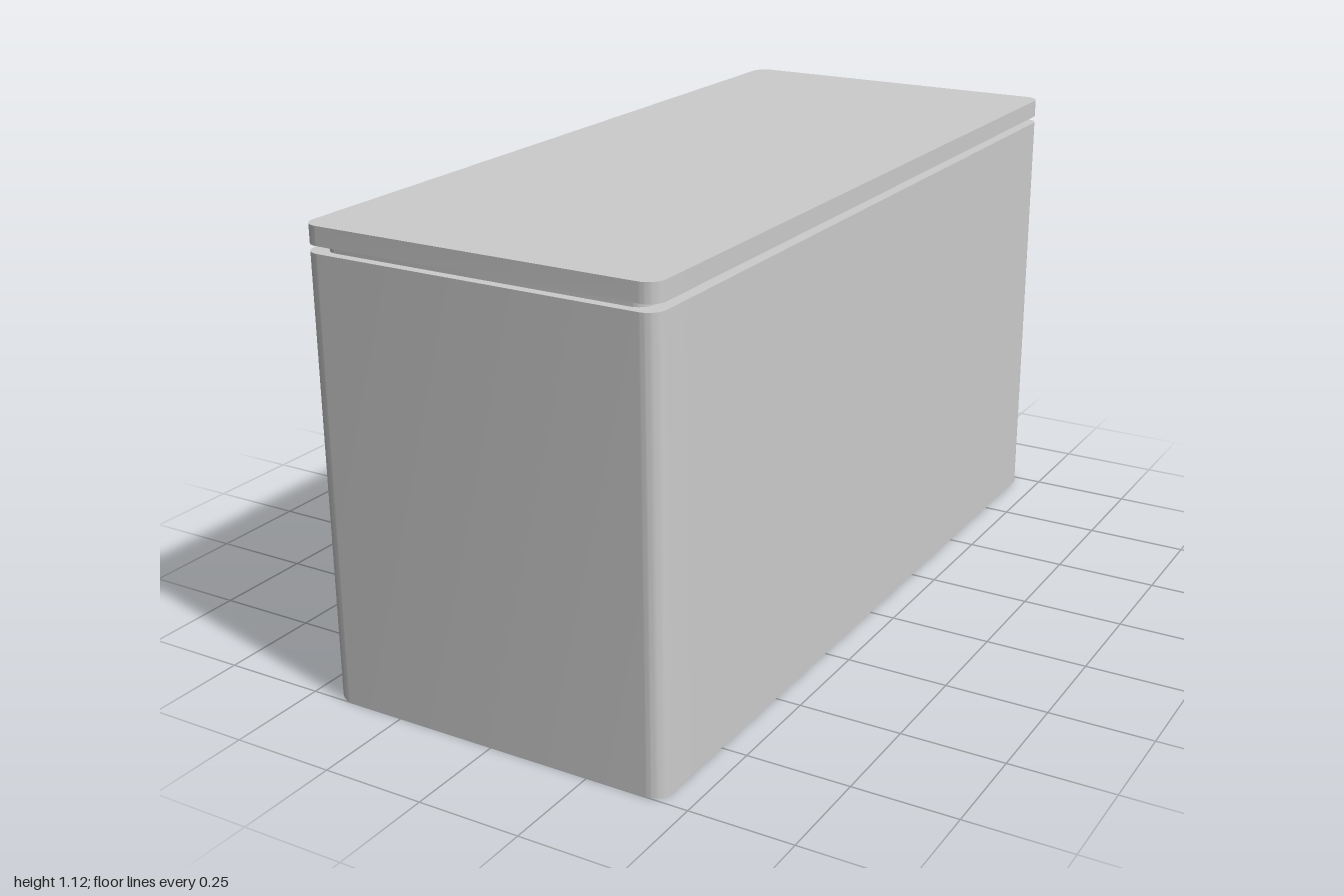
import * as THREE from 'three';
import { toCreasedNormals } from 'three/addons/utils/BufferGeometryUtils.js';

const STEPS = 12; // segments per rounded corner

// Slab with rounded vertical corners, built from columns running left to right.
// footRadius rounds the bottom edge on the -x side.
function roundedSlab(halfW, halfD, r, y0, y1, footRadius = 0) {
  const columns = [];
  for (let side = -1; side <= 1; side += 2) {
    for (let i = 0; i <= STEPS; i++) {
      const a = (side < 0 ? i : STEPS - i) / STEPS * Math.PI / 2;
      const x = side * (halfW - r + r * Math.cos(a));
      const z = halfD - r + r * Math.sin(a);
      const inset = Math.max(0, footRadius - halfW - x);
      const foot = footRadius - Math.sqrt(Math.max(0, footRadius ** 2 - inset ** 2));
      columns.push([x, z, y0 + foot]);
    }
  }

  // Four corners per column: bottom front, top front, top back, bottom back
  const positions = [];
  for (const [x, z, y] of columns) {
    positions.push(x, y, z, x, y1, z, x, y1, -z, x, y, -z);
  }

  const index = [];
  const quad = (a, b, c, d) => index.push(a, b, c, a, c, d);
  for (let i = 0; i < columns.length - 1; i++) {
    const p = i * 4, q = p + 4;
    for (let k = 0; k < 4; k++) {
      const n = (k + 1) % 4;
      quad(p + k, q + k, q + n, p + n);
    }
  }
  const e = (columns.length - 1) * 4;
  quad(0, 1, 2, 3); // -x side
  quad(e + 3, e + 2, e + 1, e); // +x side

  const geometry = new THREE.BufferGeometry();
  geometry.setAttribute('position', new THREE.Float32BufferAttribute(positions, 3));
  geometry.setIndex(index);
  return toCreasedNormals(geometry, 0.6);
}

export function createModel() {
  const group = new THREE.Group();
  group.name = 'liddedBox';
  const material = new THREE.MeshStandardMaterial({ color: 0xcccccc });

  const add = (name, geometry) => {
    const mesh = new THREE.Mesh(geometry, material);
    mesh.name = name;
    group.add(mesh);
  };

  // Main body, with one rounded lower edge
  add('body', roundedSlab(0.437, 1, 0.04, 0, 1.063, 0.04));
  // Recessed neck between body and lid
  add('neck', roundedSlab(0.4, 0.978, 0.035, 1.063, 1.08));
  // Flat lid
  add('lid', roundedSlab(0.437, 1, 0.04, 1.08, 1.124));

  return group;
}
